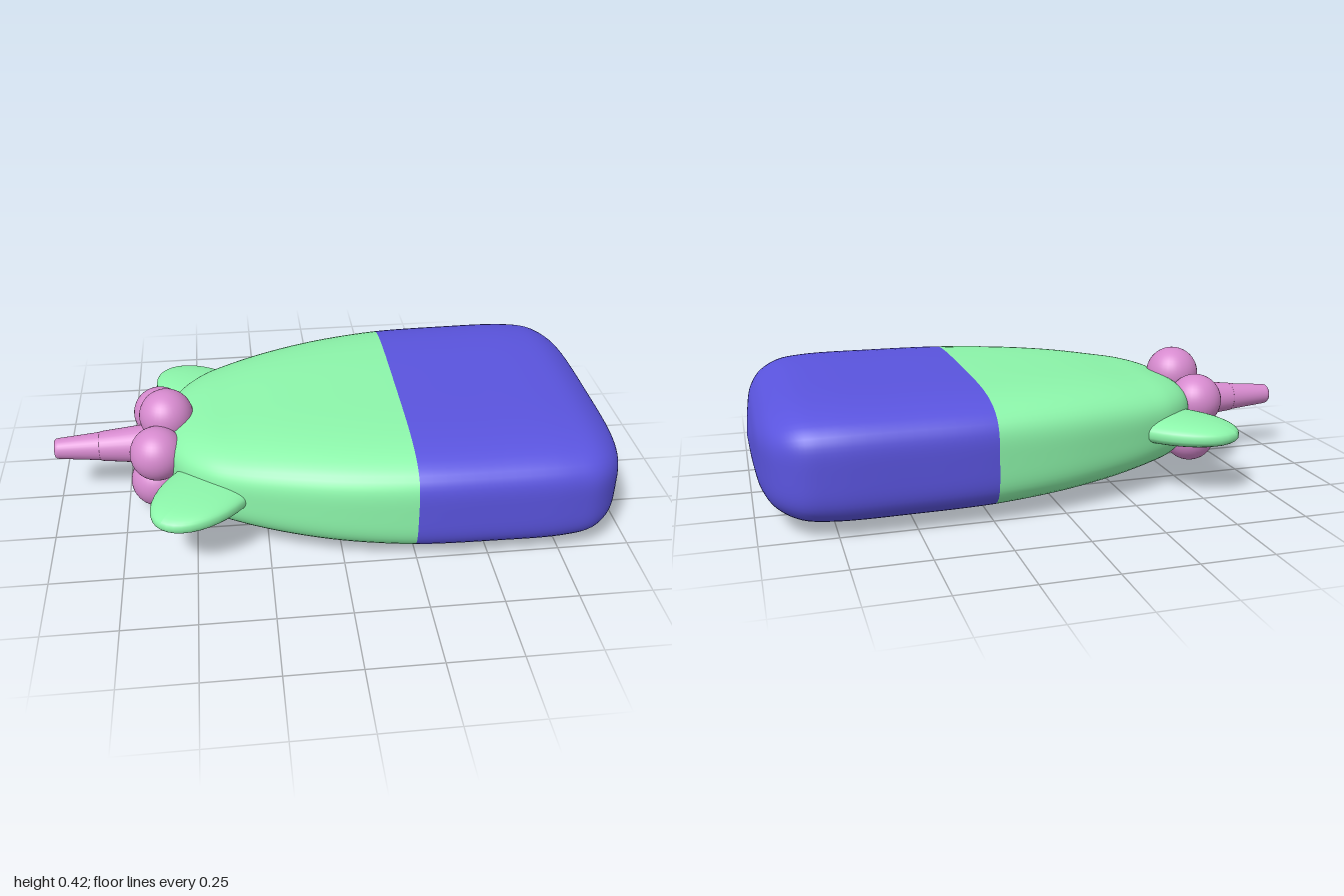
import * as THREE from 'three';
import { ParametricGeometry } from 'three/addons/geometries/ParametricGeometry.js';

const MID_Y = 0.213;
const paint = (color) => new THREE.MeshStandardMaterial({ color });
const green = paint(0x8cf5aa), blue = paint(0x5a54de), pink = paint(0xd68ace);

// Body sections from nose to rear: x, half height, half width
const sections = [
  [-0.6, 0.001, 0.002], [-0.592, 0.05, 0.1], [-0.575, 0.09, 0.19], [-0.53, 0.12, 0.27],
  [-0.45, 0.143, 0.345], [-0.35, 0.157, 0.4], [-0.2, 0.175, 0.457], [0, 0.189, 0.512],
  [0.24, 0.197, 0.547], [0.5, 0.2, 0.555], [0.76, 0.199, 0.551], [0.86, 0.188, 0.53],
  [0.93, 0.157, 0.47], [0.97, 0.115, 0.37], [0.99, 0.06, 0.2], [1, 0.001, 0.002],
];
const profile = new THREE.CatmullRomCurve3(sections.map((s) => new THREE.Vector3(...s)));
const SEAM = 8 / (sections.length - 1);

// Stretch of the rounded-box body between two positions along its profile
function bodyPart(from, to) {
  const p = new THREE.Vector3();
  return new ParametricGeometry((u, v, target) => {
    profile.getPoint(from + (to - from) * u, p);
    const n = 3.2 + THREE.MathUtils.clamp((p.x + 0.6) / 0.84, 0, 1);
    const a = v * Math.PI * 2, c = Math.cos(a), s = Math.sin(a);
    const r = Math.pow(Math.abs(c) ** n + Math.abs(s) ** n, -1 / n);
    target.set(p.x, MID_Y + p.y * r * s, p.z * r * c);
  }, 40, 96);
}

// Flat oval paddle with a full, rounded rim
function finGeometry() {
  const geo = new THREE.SphereGeometry(1, 40, 28);
  const pos = geo.attributes.position;
  for (let i = 0; i < pos.count; i++) {
    const y = pos.getY(i);
    pos.setY(i, Math.sign(y) * Math.abs(y) ** 0.75);
  }
  geo.scale(0.25, 0.049, 0.15);
  geo.computeVertexNormals();
  return geo;
}

export function createModel() {
  const model = new THREE.Group();
  model.name = 'model';
  const add = (name, geo, mat, x = 0, y = 0, z = 0) => {
    const mesh = new THREE.Mesh(geo, mat);
    mesh.name = name;
    mesh.position.set(x, y, z);
    model.add(mesh);
    return mesh;
  };

  add('frontBody', bodyPart(0, SEAM), green);
  add('rearBody', bodyPart(SEAM, 1), blue);

  // Mirrored fins angled forward and outward
  const fin = finGeometry();
  for (const side of [1, -1]) {
    const mesh = add(side > 0 ? 'finFront' : 'finBack', fin, green, -0.447, 0.217, side * 0.322);
    mesh.rotation.y = side * Math.atan2(0.76, 0.65);
  }

  // Ring of five balls around the nose
  const ball = new THREE.SphereGeometry(0.097, 32, 24);
  const balls = [
    [-0.59, 0.328, 0], [-0.625, 0.253, 0.13], [-0.622, 0.253, -0.146],
    [-0.635, 0.105, 0.078], [-0.635, 0.098, -0.082],
  ];
  balls.forEach(([x, y, z], i) => add('noseBall' + (i + 1), ball, pink, x, y, z));

  // Tapered horn in two stages, pointing to -x
  const horn = (name, points) => {
    const geo = new THREE.LatheGeometry(points.map(([r, d]) => new THREE.Vector2(r, d)), 32);
    add(name, geo, pink, 0, MID_Y, 0).rotation.z = Math.PI / 2;
  };
  horn('hornBase', [[0.083, 0.56], [0.054, 0.835], [0.05, 0.84], [0, 0.84]]);
  horn('hornTip', [[0.055, 0.8], [0.038, 0.985], [0.036, 0.995], [0.031, 1], [0, 1]]);
  return model;
}
